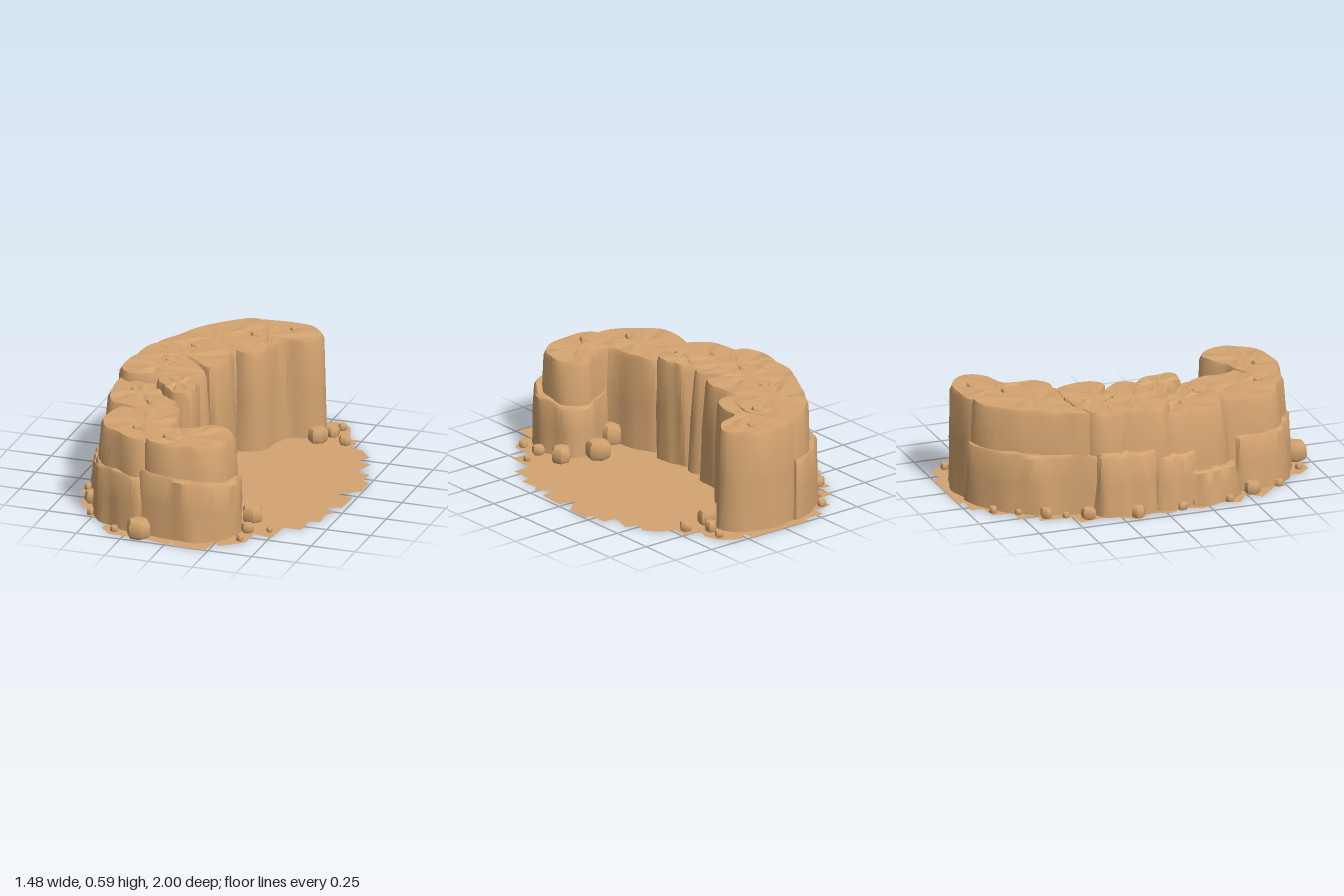
import * as THREE from 'three';
import { toCreasedNormals } from 'three/addons/utils/BufferGeometryUtils.js';

const GROUND_Y = 0.008;

// Lofts a rock column from a plan outline [x, z] up to a height, with flutes and an uneven cap.
function rockGeometry(outline, height, flare, seed, tilt = [0, 0]) {
  const N = 44;
  const curve = new THREE.CatmullRomCurve3(outline.map(([x, z]) => new THREE.Vector3(x, 0, z)), true, 'centripetal');
  let pts = curve.getSpacedPoints(N).slice(0, N);
  if (THREE.ShapeUtils.area(pts.map((p) => new THREE.Vector2(p.x, -p.z))) < 0) pts.reverse();
  const c = pts.reduce((s, p) => s.add(p), new THREE.Vector3()).divideScalar(N);
  const wave = (i, k) => {
    const a = (i / N) * Math.PI * 2;
    return 0.5 * Math.sin(5 * a + seed * 2.1 + k) + 0.5 * Math.sin(9 * a + seed * 3.7 + k * 2);
  };
  // each ring: height fraction, outward shift, flute depth, plan scale, cap roughness
  const rings = [
    [0, flare, 0.010, 1, 0],
    [0.5, flare * 0.55, 0.013, 1, 0],
    [0.95, 0, 0.009, 1, 0],
    [1, -0.012, 0.006, 1, 0.004],
    [1, -0.012, 0, 0.68, 0.010],
    [1, 0, 0, 0.35, 0.008],
  ];
  const pos = [], index = [];
  rings.forEach(([t, out, flute, scale, rough], r) => {
    pts.forEach((p, i) => {
      const d = p.clone().sub(c);
      const len = d.length();
      d.multiplyScalar((len * scale + out + flute * wave(i, t * 1.5)) / len);
      const slope = t * (d.x * tilt[0] + d.z * tilt[1]);
      pos.push(c.x + d.x, GROUND_Y + (height - GROUND_Y) * t + slope + rough * wave(i, r), c.z + d.z);
    });
  });
  for (let r = 0; r < rings.length - 1; r++) {
    for (let i = 0; i < N; i++) {
      const a = r * N + i, b = r * N + (i + 1) % N;
      index.push(a, b, b + N, a, b + N, a + N);
    }
  }
  const last = (rings.length - 1) * N;
  pos.push(c.x, height, c.z);
  for (let i = 0; i < N; i++) index.push(last + i, last + (i + 1) % N, last + N);
  const g = new THREE.BufferGeometry();
  g.setAttribute('position', new THREE.Float32BufferAttribute(pos, 3));
  g.setIndex(index);
  return toCreasedNormals(g, 0.75);
}

export function createModel() {
  const model = new THREE.Group();
  const sandstone = new THREE.MeshStandardMaterial({ color: 0xd4a470, side: THREE.DoubleSide });
  sandstone.name = 'sandstone';
  const add = (name, geometry, parent = model) => {
    const m = new THREE.Mesh(geometry, sandstone);
    m.name = name;
    parent.add(m);
    return m;
  };

  // Ragged ground sheet
  const rim = [
    [-0.17, -1], [0.22, -1], [0.22, -0.93], [0.28, -0.98], [0.38, -0.92], [0.41, -0.83], [0.38, -0.75],
    [0.48, -0.76], [0.48, -0.65], [0.55, -0.63], [0.62, -0.55], [0.58, -0.48], [0.66, -0.46], [0.62, -0.33],
    [0.70, -0.32], [0.70, -0.22], [0.74, -0.21], [0.74, -0.08], [0.64, 0], [0.73, 0.03], [0.72, 0.18],
    [0.63, 0.2], [0.71, 0.26], [0.67, 0.3], [0.68, 0.41], [0.62, 0.42], [0.62, 0.55], [0.52, 0.55],
    [0.51, 0.71], [0.40, 0.69], [0.40, 0.82], [0.28, 0.92], [0.25, 0.86], [0.23, 1], [0.05, 1],
    [0.03, 0.95], [0.02, 0.99], [-0.16, 0.95], [-0.33, 0.95], [-0.40, 0.88], [-0.37, 0.76], [-0.54, 0.74],
    [-0.53, 0.68], [-0.65, 0.57], [-0.58, 0.5], [-0.68, 0.43], [-0.64, 0.3], [-0.70, 0.22], [-0.66, 0.1],
    [-0.71, 0.02], [-0.67, -0.08], [-0.74, -0.17], [-0.64, -0.3], [-0.67, -0.48], [-0.58, -0.5], [-0.57, -0.68],
    [-0.49, -0.66], [-0.51, -0.77], [-0.41, -0.78], [-0.40, -0.89], [-0.29, -0.9], [-0.29, -0.97], [-0.17, -0.96],
  ];
  const ground = new THREE.ShapeGeometry(new THREE.Shape(rim.map(([x, z]) => new THREE.Vector2(x, -z))));
  ground.rotateX(-Math.PI / 2);
  add('ground', ground).position.y = GROUND_Y;

  // Tall cliff blocks: name, height, flare, plan outline
  const cliffs = [
    ['cliffBackEnd', 0.573, 0.015, [[0.27, -0.8], [0.2, -0.9], [0.02, -0.94], [-0.15, -0.9], [-0.25, -0.75],
      [-0.2, -0.5], [-0.05, -0.41], [0.04, -0.47], [0.09, -0.66], [0.2, -0.7]]],
    ['cliffBackShoulder', 0.577, 0.02, [[-0.12, -0.91], [-0.33, -0.79], [-0.46, -0.58], [-0.54, -0.37],
      [-0.3, -0.34], [-0.1, -0.43], [0, -0.62]]],
    ['cliffRear', 0.58, 0.02, [[-0.55, -0.38], [-0.3, -0.44], [-0.12, -0.42], [-0.09, -0.33], [-0.09, -0.2],
      [-0.14, -0.15], [-0.24, -0.18], [-0.4, -0.1], [-0.58, -0.16]]],
    ['cliffMiddle', 0.58, 0.03, [[-0.57, -0.25], [-0.35, -0.24], [-0.22, -0.17], [-0.14, -0.07], [-0.17, -0.01],
      [-0.3, 0.04], [-0.58, 0.06]]],
    ['cliffInnerPillar', 0.58, 0.01, [[-0.37, 0.03], [-0.22, -0.01], [-0.14, 0.06], [-0.12, 0.24], [-0.18, 0.27],
      [-0.33, 0.15]]],
    ['cliffSide', 0.535, 0.04, [[-0.58, 0.02], [-0.35, 0.0], [-0.22, 0.2], [-0.18, 0.34], [-0.4, 0.42],
      [-0.54, 0.36]]],
    ['cliffFrontShoulder', 0.528, 0.03, [[-0.47, 0.42], [-0.3, 0.32], [-0.18, 0.3], [-0.11, 0.42], [-0.09, 0.58],
      [-0.04, 0.7], [-0.18, 0.84], [-0.34, 0.79], [-0.48, 0.66]]],
    ['cliffFrontEnd', 0.535, 0.02, [[-0.18, 0.82], [-0.16, 0.66], [0.02, 0.58], [0.14, 0.51], [0.23, 0.55],
      [0.27, 0.68], [0.22, 0.8], [0.1, 0.87], [-0.08, 0.88]]],
  ];
  const cliffGroup = new THREE.Group();
  cliffGroup.name = 'cliffs';
  model.add(cliffGroup);
  cliffs.forEach(([name, h, flare, outline], i) => add(name, rockGeometry(outline, h, flare, i + 1), cliffGroup));

  // Lower ledges on the outer foot of the cliffs: name, height, flare, tilt, plan outline
  const ledges = [
    ['ledgeBack', 0.34, 0.015, [0, 0], [[-0.13, -0.94], [-0.27, -0.88], [-0.42, -0.75], [-0.53, -0.5], [-0.58, -0.33],
      [-0.4, -0.38], [-0.2, -0.7]]],
    ['ledgeRear', 0.36, 0.02, [0.1, 0], [[-0.62, -0.34], [-0.5, -0.36], [-0.45, -0.1], [-0.52, 0.0], [-0.64, -0.05]]],
    ['ledgeSide', 0.33, 0.02, [0.3, 0], [[-0.65, 0.0], [-0.5, -0.05], [-0.45, 0.15], [-0.52, 0.25], [-0.63, 0.17]]],
    ['ledgeSideLow', 0.19, 0.02, [-0.1, 0], [[-0.64, 0.14], [-0.5, 0.1], [-0.45, 0.4], [-0.53, 0.46], [-0.62, 0.38]]],
    ['ledgeFrontShoulder', 0.32, 0.02, [0, 0], [[-0.5, 0.47], [-0.35, 0.5], [-0.15, 0.8], [-0.18, 0.87],
      [-0.34, 0.83], [-0.5, 0.69]]],
    ['ledgeFrontEnd', 0.33, 0.01, [-0.08, 0.13], [[-0.19, 0.86], [-0.17, 0.7], [0.02, 0.56], [0.14, 0.49],
      [0.25, 0.52], [0.31, 0.65], [0.29, 0.78], [0.2, 0.89], [0.02, 0.91]]],
  ];
  const ledgeGroup = new THREE.Group();
  ledgeGroup.name = 'ledges';
  model.add(ledgeGroup);
  ledges.forEach(([name, h, flare, tilt, outline], i) =>
    add(name, rockGeometry(outline, h, flare, i + 11, tilt), ledgeGroup));

  // Chamfered six-sided boulders, sized by radius
  const profile = [[0.84, 0], [1, 0.25], [0.98, 1.05], [0.78, 1.36], [0, 1.44]].map(([x, y]) => new THREE.Vector2(x, y));
  const boulder = toCreasedNormals(new THREE.LatheGeometry(profile, 6), 0.6);
  const scatter = (name, y, sink, list) => {
    const group = new THREE.Group();
    group.name = name;
    model.add(group);
    list.forEach(([x, z, r], i) => {
      const m = add('boulder', boulder, group);
      m.position.set(x, y(z) - r * sink, z);
      m.scale.set(r, r, r * (0.9 + 0.1 * Math.sin(i * 2.3)));
      m.rotation.y = i * 1.7;
    });
  };
  scatter('groundBoulders', () => GROUND_Y, 0, [
    [-0.36, -0.87, 0.025], [-0.43, -0.75, 0.02], [-0.53, -0.63, 0.037], [-0.57, -0.53, 0.02], [-0.62, -0.42, 0.042],
    [-0.69, -0.16, 0.043], [-0.67, 0.1, 0.03], [-0.62, 0.18, 0.05], [-0.65, 0.38, 0.025], [-0.57, 0.54, 0.045],
    [-0.52, 0.71, 0.026], [-0.32, 0.9, 0.022], [-0.17, 0.93, 0.07], [-0.06, 0.56, 0.078], [0.14, 0.43, 0.07],
    [0.33, 0.51, 0.06], [0.47, 0.63, 0.02], [0.36, 0.67, 0.035], [0.36, 0.8, 0.025], [0.28, -0.68, 0.056],
    [0.43, -0.69, 0.035], [0.33, -0.78, 0.04], [0.35, -0.88, 0.025],
  ]);
  scatter('topPebbles', (z) => (z < 0 ? 0.575 : 0.533), 0.9, [
    [0.09, -0.83, 0.025], [-0.07, -0.68, 0.036], [-0.32, -0.42, 0.036], [-0.21, -0.42, 0.018], [-0.38, -0.17, 0.03],
    [-0.46, 0.18, 0.03], [-0.32, 0.31, 0.026], [-0.27, 0.29, 0.02], [-0.27, 0.68, 0.025], [-0.05, 0.77, 0.04],
  ]);

  return model;
}
